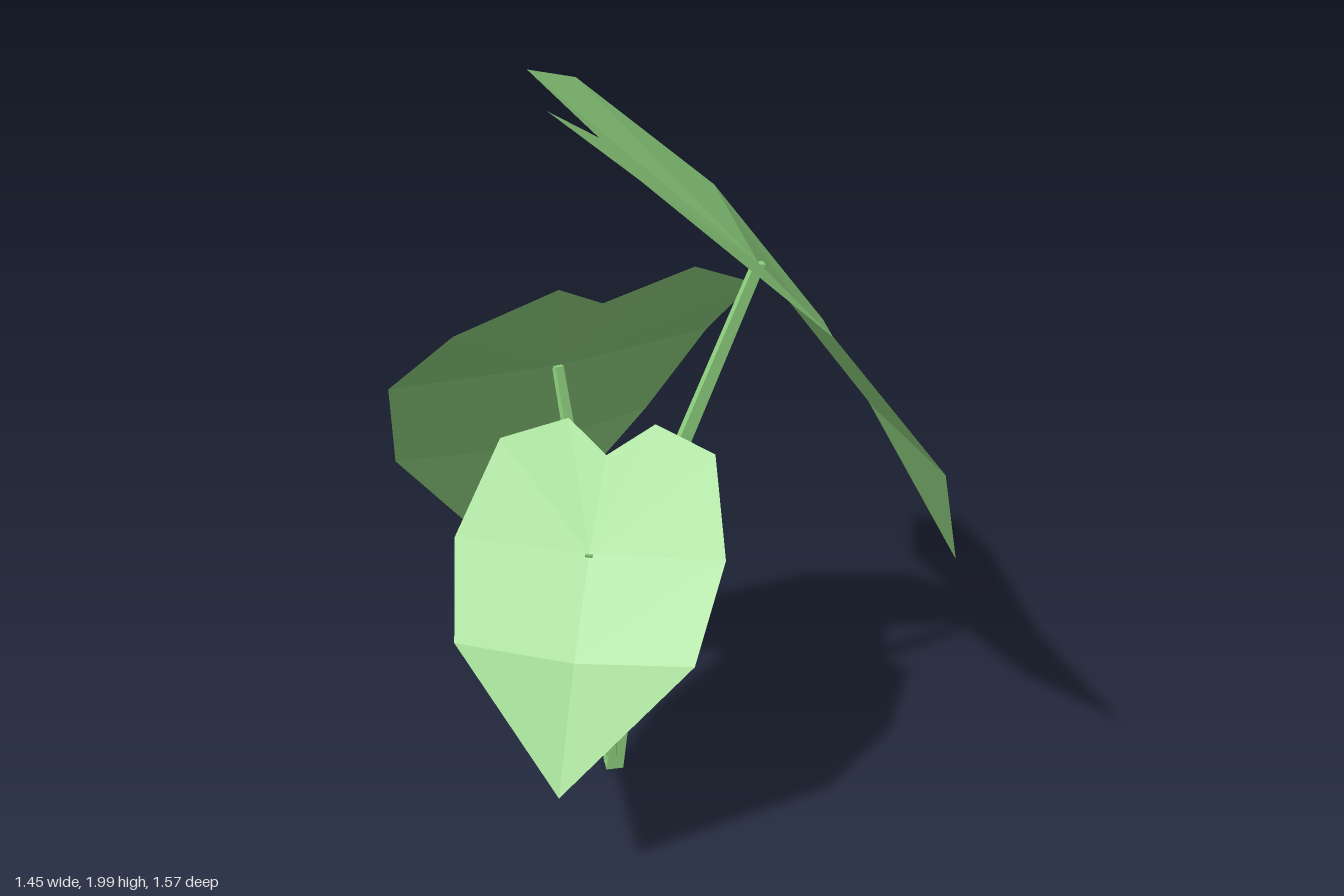
import * as THREE from 'three';

const green = new THREE.MeshStandardMaterial({ color: 0x8fd07f, side: THREE.DoubleSide, flatShading: true });
green.name = 'leaf green';

// Each leaf points outward along its own +x. Rows are [reach, height, halfWidth]:
// tip, lower edge, middle edge, upper edge, lobe, notch; ribs are points on the midrib.
const LEAVES = [
  {
    name: 'largeLeaf', dir: [0.847, 0.532], stem: 0.025, bend: 0.1,
    edge: [[1.015, 0.585, 0], [0.749, 1.14, 0.571], [0.427, 1.55, 0.677], [0.011, 1.9, 0.576], [-0.15, 1.985, 0.255], [0, 1.86, 0]],
    ribs: [[0.74, 1.085], [0.41, 1.515]],
  },
  {
    name: 'middleLeaf', dir: [0.226, -0.974], stem: 0.021, bend: 0.1,
    edge: [[0.71, 0.345, 0], [0.545, 0.857, 0.41], [0.307, 1.18, 0.49], [-0.045, 1.43, 0.43], [-0.147, 1.54, 0.19], [0, 1.43, 0]],
    ribs: [[0.525, 0.82], [0.295, 1.16]],
  },
  {
    name: 'smallLeaf', dir: [-0.8, 0.6], stem: 0.016, bend: 0.07,
    edge: [[0.586, 0.305, 0], [0.406, 0.62, 0.317], [0.22, 0.83, 0.364], [-0.004, 1.025, 0.297], [-0.072, 1.07, 0.121], [0, 1, 0]],
    ribs: [[0.4, 0.59], [0.21, 0.81]],
  },
];

// Heart-shaped blade folded along its midrib
function bladeGeometry({ edge, ribs }) {
  const [tip, , , , , notch] = edge;
  const [low, high] = ribs.map(([x, y]) => [x, y, 0]);
  const points = [];
  for (const side of [1, -1]) {
    const [e1, e2, e3, e4] = edge.slice(1, 5).map(([x, y, w]) => [x, y, w * side]);
    const triangles = [
      [low, e1, tip], [low, e2, e1], [low, high, e2],
      [high, e3, e2], [high, e4, e3], [high, notch, e4],
    ];
    for (const [a, b, c] of triangles) points.push(...a, ...(side > 0 ? [...b, ...c] : [...c, ...b]));
  }
  const geometry = new THREE.BufferGeometry();
  geometry.setAttribute('position', new THREE.Float32BufferAttribute(points, 3));
  geometry.computeVertexNormals();
  return geometry;
}

// Square tapering stalk that bends outward halfway up to meet the midrib
function stalkGeometry({ ribs, stem, bend }) {
  const [endX, endY] = ribs[1];
  const r = stem * Math.SQRT2;
  const geometry = new THREE.CylinderGeometry(r * 0.6, r, endY, 4, 2, false, Math.PI / 4);
  geometry.translate(0, endY / 2, 0);
  const pos = geometry.attributes.position;
  for (let i = 0; i < pos.count; i++) {
    const t = pos.getY(i) / endY;
    const shift = t < 0.25 ? 0 : t < 0.75 ? bend : endX;
    pos.setX(i, pos.getX(i) + shift);
  }
  geometry.computeVertexNormals();
  return geometry;
}

export function createModel() {
  const plant = new THREE.Group();
  plant.name = 'leafyPlant';
  for (const leaf of LEAVES) {
    const group = new THREE.Group();
    group.name = leaf.name;
    const blade = new THREE.Mesh(bladeGeometry(leaf), green);
    blade.name = 'blade';
    const stalk = new THREE.Mesh(stalkGeometry(leaf), green);
    stalk.name = 'stalk';
    group.add(blade, stalk);
    group.position.set(-0.213, 0, -0.092);
    group.rotation.y = Math.atan2(-leaf.dir[1], leaf.dir[0]);
    plant.add(group);
  }
  return plant;
}
